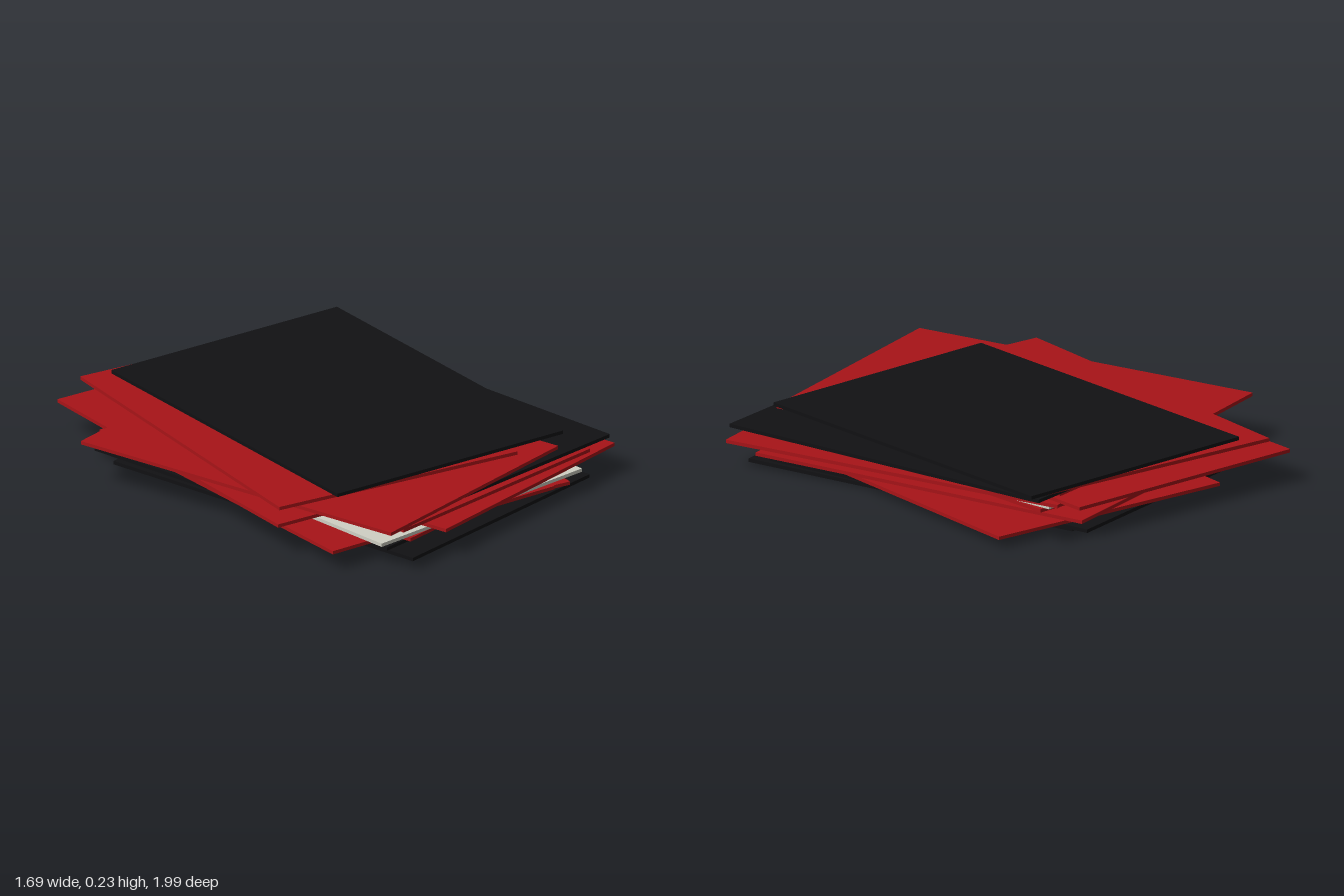
import * as THREE from 'three';

const WIDTH = 1.107, DEPTH = 1.55, THICK = 0.0145, PITCH = 0.0178;

// One entry per slab, bottom to top: colour, centre x, centre z, turn in degrees
const SLABS = [
  ['black', 0.055, 0.085, 8.6],
  ['black', 0.045, -0.02, 7],
  ['red', 0.153, -0.03, -10.6],
  ['red', 0.088, 0.018, 9.3],
  ['red', -0.062, 0.07, -4.9],
  ['white', 0.015, 0.105, 2],
  ['red', 0.15, 0.125, 10.8],
  ['red', -0.098, -0.16, -7.2],
  ['red', 0.038, 0.112, 6],
  ['black', 0.182, 0.073, 4.9],
  ['red', -0.155, 0.128, 11.2],
  ['red', -0.043, -0.12, -11],
  ['black', 0.135, -0.09, -6.2],
];

export function createModel() {
  const group = new THREE.Group();
  group.name = 'slabStack';
  const materials = {
    black: new THREE.MeshStandardMaterial({ color: 0x111113 }),
    red: new THREE.MeshStandardMaterial({ color: 0xa81418 }),
    white: new THREE.MeshStandardMaterial({ color: 0xd0d0c4 }),
  };
  const geometry = new THREE.BoxGeometry(WIDTH, THICK, DEPTH);

  // Loose pile of thin rectangular slabs, each slightly shifted and turned
  SLABS.forEach(([colour, x, z, turn], i) => {
    const slab = new THREE.Mesh(geometry, materials[colour]);
    slab.name = `${colour}Slab${i + 1}`;
    slab.position.set(x, THICK / 2 + i * PITCH, z);
    slab.rotation.y = THREE.MathUtils.degToRad(turn);
    group.add(slab);
  });
  return group;
}
